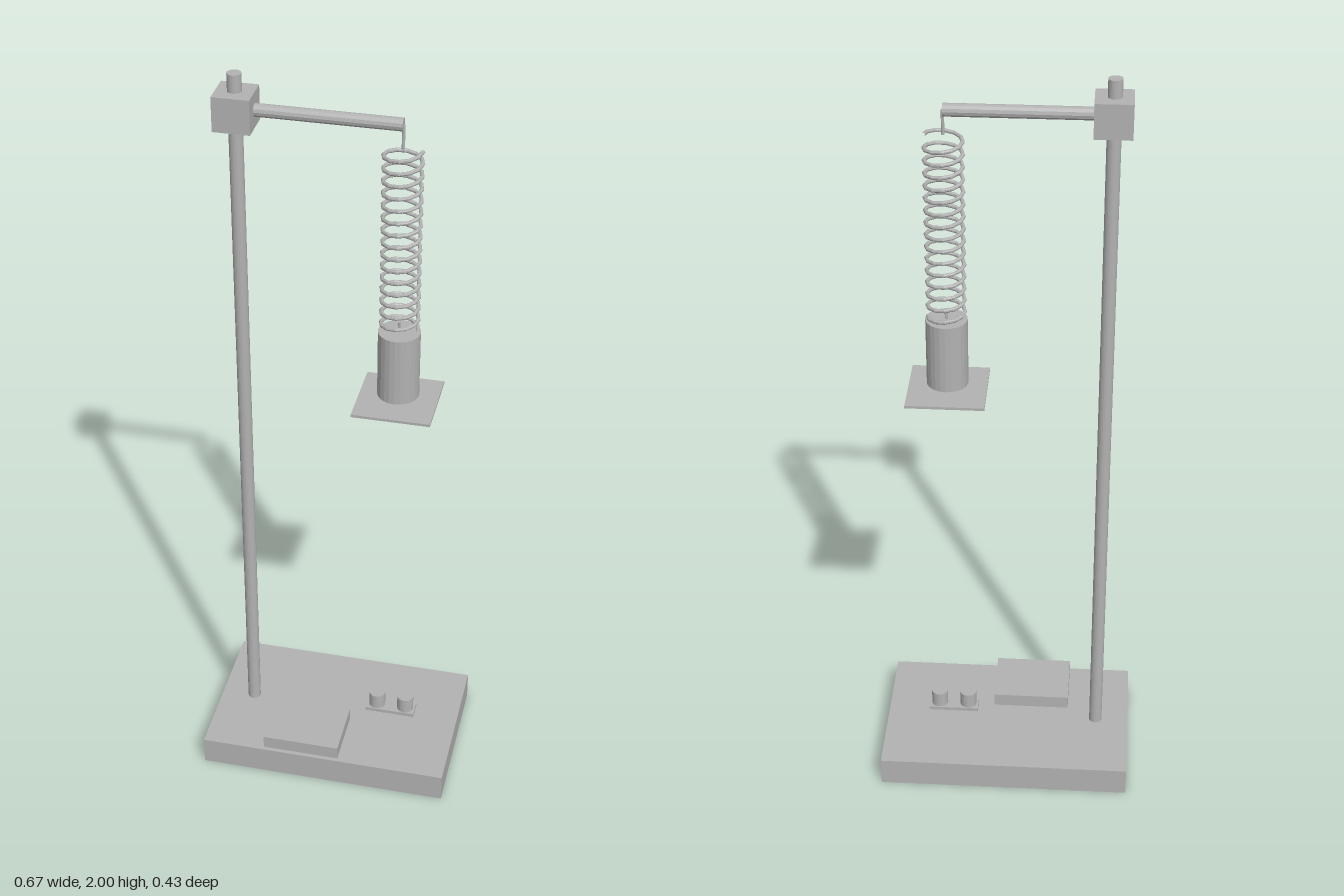
import * as THREE from 'three';

export function createModel() {
  const group = new THREE.Group();
  const grey = new THREE.MeshStandardMaterial({ color: 0xb2b2b2, flatShading: true });
  grey.name = 'grey';

  const add = (name, geometry, x, y, z) => {
    const mesh = new THREE.Mesh(geometry, grey);
    mesh.name = name;
    mesh.position.set(x, y, z);
    group.add(mesh);
    return mesh;
  };
  // Boxes and upright cylinders are placed by the height of their underside
  const box = (name, w, h, d, x, y, z) =>
    add(name, new THREE.BoxGeometry(w, h, d), x, y + h / 2, z);
  const cylinder = (name, r, h, x, y, z, sides = 24) =>
    add(name, new THREE.CylinderGeometry(r, r, h, sides), x, y + h / 2, z);

  const rodX = -0.247;
  const hangX = 0.153;

  // Stand
  box('base', 0.674, 0.078, 0.428, 0, 0, 0);
  cylinder('rod', 0.0175, 1.922, rodX, 0.078, 0);
  box('clamp', 0.092, 0.088, 0.092, -0.246, 1.867, 0);
  const arm = add('arm', new THREE.CylinderGeometry(0.016, 0.016, 0.353, 12), -0.0235, 1.912, 0);
  arm.rotation.z = Math.PI / 2;

  // Hook wires above and below the spring
  cylinder('upperHook', 0.004, 0.062, hangX, 1.85, 0, 8);
  cylinder('lowerHook', 0.004, 0.03, hangX, 1.352, 0, 8);

  // Coil spring
  class Helix extends THREE.Curve {
    getPoint(t, target = new THREE.Vector3()) {
      const a = t * turns * Math.PI * 2;
      return target.set(Math.cos(a) * 0.0465, -t * 0.485, Math.sin(a) * 0.0465);
    }
  }
  const turns = 15;
  add('spring', new THREE.TubeGeometry(new Helix(), turns * 12, 0.005, 8), hangX, 1.848, 0);

  // Hanging weight and its reflector plate
  cylinder('weight', 0.053, 0.182, hangX, 1.175, 0);
  box('reflectorPlate', 0.2, 0.007, 0.2, hangX, 1.153, 0);

  // Control box and distance sensor on the base
  box('controlBox', 0.209, 0.037, 0.163, -0.0625, 0.078, 0.1215);
  box('sensorBoard', 0.136, 0.01, 0.05, 0.152, 0.107, 0);
  for (const side of [-1, 1]) {
    cylinder('sensorEye', 0.0225, 0.043, 0.152 + side * 0.04, 0.117, 0);
  }

  return group;
}
